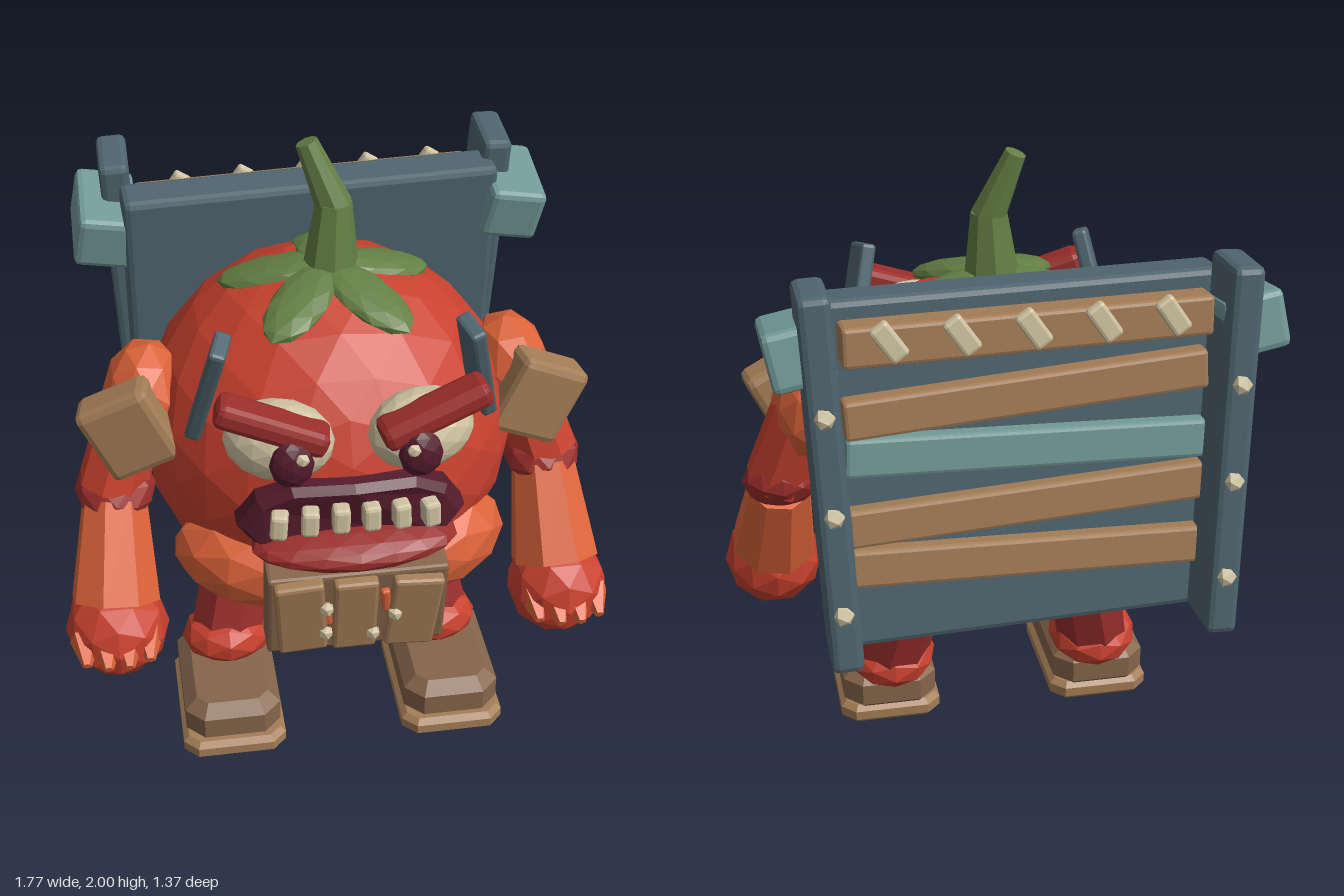
import * as THREE from 'three';
import { RoundedBoxGeometry } from 'three/addons/geometries/RoundedBoxGeometry.js';

const colours = {
  red: 0xc9412e, darkRed: 0x9a2e2b, orange: 0xdc6339, tan: 0xa47d56, brown: 0x85654a,
  cream: 0xd0c4a2, maroon: 0x551b2d, green: 0x647f44, slate: 0x4f656f, teal: 0x729a97,
};
const mats = {};
for (const [name, color] of Object.entries(colours)) {
  mats[name] = new THREE.MeshStandardMaterial({ color, flatShading: true });
  mats[name].name = name;
}

export function createModel() {
  const model = new THREE.Group();
  model.name = 'tomatoMonster';

  const add = (name, mat, geo, pos, rot = [0, 0, 0], parent = model) => {
    const mesh = new THREE.Mesh(geo, mats[mat]);
    mesh.name = name;
    mesh.position.set(...pos);
    mesh.rotation.set(...rot);
    parent.add(mesh);
    return mesh;
  };
  // Faceted ellipsoid
  const ball = (name, mat, r, pos, detail = 1, rot, parent) =>
    add(name, mat, new THREE.IcosahedronGeometry(1, detail).scale(...r), pos, rot, parent);
  // Box with chamfered edges
  const box = (name, mat, size, pos, rot, parent, bevel = 0.012) =>
    add(name, mat, new RoundedBoxGeometry(...size, 1, Math.min(bevel, Math.min(...size) * 0.3)), pos, rot, parent);
  // Horizontal slab with cut corners and bevelled rims, standing at height y
  const slab = (name, mat, w, h, d, cut, bevel, x, y, z) => {
    const a = w / 2 - bevel, b = d / 2 - bevel;
    const plan = [[a, cut - b], [a, b - cut], [a - cut, b], [cut - a, b], [-a, b - cut], [-a, cut - b], [cut - a, -b], [a - cut, -b]];
    const geo = new THREE.ExtrudeGeometry(new THREE.Shape(plan.map(p => new THREE.Vector2(...p))),
      { depth: h - 2 * bevel, bevelSize: bevel, bevelThickness: bevel, bevelSegments: 1 });
    return add(name, mat, geo.rotateX(-Math.PI / 2), [x, y + bevel, z]);
  };
  // Eight-sided tapered limb between two points
  const limb = (name, mat, a, b, ra, rb) => {
    const start = new THREE.Vector3(...a), end = new THREE.Vector3(...b);
    const dir = end.clone().sub(start);
    const mesh = add(name, mat, new THREE.CylinderGeometry(rb, ra, dir.length(), 8),
      start.clone().add(end).multiplyScalar(0.5).toArray());
    mesh.quaternion.setFromUnitVectors(new THREE.Vector3(0, 1, 0), dir.normalize());
  };

  // Body, slightly shallow in front and flattened against the tailgate
  const bodyGeo = new THREE.IcosahedronGeometry(0.59, 3);
  const bp = bodyGeo.attributes.position;
  for (let i = 0; i < bp.count; i++) {
    const z = bp.getZ(i);
    bp.setZ(i, z > 0 ? z * 0.93 : Math.max(z, -0.4));
    if (bp.getY(i) > 0) bp.setY(i, bp.getY(i) * 0.97);
  }
  add('body', 'red', bodyGeo, [0, 1.03, 0]);

  // Leaves and bent stem
  for (let i = 0; i < 5; i++) {
    const a = Math.PI + i * Math.PI * 2 / 5;
    const leaf = ball('leaf', 'green', [0.09, 0.035, 0.18],
      [Math.sin(a) * 0.175, 1.558, 0.02 + Math.cos(a) * 0.175]);
    leaf.rotation.set(0.27, a, 0, 'YXZ');
  }
  limb('lowerStem', 'green', [0.01, 1.55, 0.01], [0.022, 1.8, 0], 0.092, 0.056);
  limb('upperStem', 'green', [0.024, 1.785, 0], [-0.055, 1.985, -0.028], 0.056, 0.034);

  for (const s of [-1, 1]) {
    // Eye
    ball('eye', 'cream', [0.165, 0.122, 0.12], [s * 0.21, 1.29, 0.47], 2, [0, s * 0.3, 0]);
    ball('pupil', 'maroon', [0.066, 0.078, 0.04], [s * 0.187, 1.282, 0.588]);
    ball('eyeHighlight', 'cream', [0.022, 0.022, 0.016], [s * 0.16, 1.318, 0.622], 0);
    box('brow', 'darkRed', [0.34, 0.078, 0.11], [s * 0.235, 1.385, 0.53], [0, s * 0.14, s * 0.35], model, 0.025);

    // Slat stuck in the brow line
    box('headSlat', 'slate', [0.05, 0.38, 0.11], [s * 0.4, 1.405, 0.34], [0.24, s * 0.3, s * 0.22]);

    // Lower cheek
    ball('cheek', 'orange', [0.245, 0.16, 0.16], [s * 0.3, 0.77, 0.34], 1, [0, s * 0.5, 0]);

    // Arm
    ball('shoulder', 'orange', [0.13, 0.19, 0.165], [s * 0.58, 1.195, 0.045], 1, [0, 0, s * 0.15]);
    box('shoulderPlate', 'tan', [0.24, 0.265, 0.13], [s * 0.63, 1.175, 0.185], [0, s * 0.15, -s * 0.45], model, 0.025);
    limb('upperArm', 'red', [s * 0.6, 1.2, 0.03], [s * 0.7, 0.9, 0.1], 0.105, 0.112);
    ball('elbow', 'darkRed', [0.128, 0.09, 0.13], [s * 0.69, 0.9, 0.1], 1, [0.4, 0, 0]);
    limb('forearm', 'orange', [s * 0.695, 0.87, 0.12], [s * 0.718, 0.58, 0.27], 0.105, 0.145);
    ball('hand', 'red', [0.165, 0.163, 0.165], [s * 0.72, 0.503, 0.31], 1);
    for (let i = 0; i < 4; i++) {
      const u = (i - 1.5) * 0.066;
      add('finger', 'orange', new THREE.CylinderGeometry(0.015, 0.052, 0.1, 5),
        [s * 0.725 + u, 0.5, 0.452 - u * u * 3], [1.9, 0, 0]);
    }

    // Leg and shoe
    limb('leg', 'darkRed', [s * 0.265, 0.64, -0.04], [s * 0.36, 0.2, 0.075], 0.12, 0.128);
    ball('ankleCuff', 'red', [0.152, 0.1, 0.15], [s * 0.355, 0.22, 0.075], 1, [-0.3, 0, 0]);
    slab('shoe', 'brown', 0.315, 0.155, 0.465, 0.035, 0.04, s * 0.367, 0.038, 0.197);
    slab('sole', 'tan', 0.34, 0.068, 0.49, 0.035, 0.018, s * 0.367, 0, 0.21);
  }

  // Mouth, bent round the body
  const outline = [[-0.32, 1.02], [-0.27, 1.1], [-0.18, 1.15], [0, 1.155], [0.18, 1.15], [0.27, 1.1],
    [0.32, 1.02], [0.26, 0.95], [0, 0.94], [-0.26, 0.95]].map(p => new THREE.Vector2(...p));
  const mouthGeo = new THREE.ExtrudeGeometry(new THREE.Shape(outline),
    { depth: 0.18, bevelSize: 0.02, bevelThickness: 0.025, bevelSegments: 1 });
  const mp = mouthGeo.attributes.position;
  for (let i = 0; i < mp.count; i++) mp.setZ(i, mp.getZ(i) - 0.5 * mp.getX(i) ** 2);
  add('mouth', 'maroon', mouthGeo, [0, 0, 0.385]);
  ball('lowerLip', 'darkRed', [0.315, 0.062, 0.145], [0.005, 0.95, 0.53], 2);
  for (let i = 0; i < 6; i++) {
    const x = (i - 2.5) * 0.09;
    box('tooth', 'cream', [0.052, 0.085, 0.06], [x, 1.08 - x * x * 0.4, 0.595 - x * x * 0.4],
      [0, x * 0.8, x * 0.3]);
  }

  // Wooden chin guard
  const chin = new THREE.Group();
  chin.name = 'chinGuard';
  chin.position.set(0.005, 0.73, 0.565);
  chin.rotation.x = 0.16;
  model.add(chin);
  box('chinBacking', 'brown', [0.55, 0.33, 0.11], [0, 0, -0.015], [0, 0, 0], chin);
  for (const [x, y, w, r] of [[-0.175, 0.015, 0.15, 0.06], [-0.01, 0.01, 0.135, 0], [0.17, 0, 0.155, -0.08]])
    box('chinPlank', 'tan', [w, 0.29, 0.05], [x, y, 0.05], [0, 0, r], chin);
  for (const [x, y] of [[-0.1, 0.06], [-0.1, -0.05], [0.11, 0.01], [0.045, -0.07]])
    ball('chinNail', 'cream', [0.024, 0.028, 0.02], [x, y, 0.072], 0, [0, 0, 0.4], chin);
  for (const [x, y] of [[-0.095, 0.01], [0.085, 0.05]])
    box('chinPatch', 'orange', [0.028, 0.09, 0.03], [x, y, 0.045], [0, 0, 0.1], chin);

  // Tailgate carried on the back
  const gate = new THREE.Group();
  gate.name = 'tailgate';
  gate.position.set(0, 1.17, -0.42);
  gate.rotation.set(0.075, 0.058, 0);
  model.add(gate);
  box('gatePanel', 'slate', [1.2, 1.09, 0.14], [0, 0, 0.03], [0, 0, 0], gate, 0.02);
  const planks = [[0.43, 'tan', 0, 0.1], [0.23, 'tan', -0.05, 0.07], [0.06, 'teal', 0.05, 0.06],
    [-0.12, 'tan', -0.03, 0.06], [-0.29, 'tan', 0.05, 0.06]];
  for (const [y, mat, r, depth] of planks)
    box('gatePlank', mat, [1.09, 0.12, depth], [0, y, -0.03 - depth / 2], [0, 0, r], gate);
  for (let i = -2; i <= 2; i++)
    box('gateChip', 'cream', [0.06, 0.12, 0.035], [i * 0.207, 0.445, -0.135], [0, 0, -0.6], gate);

  // Side posts with bolts and handles
  for (const s of [-1, 1]) {
    const post = new THREE.Group();
    post.name = 'gatePost';
    post.position.set(s * 0.59, 1.205, -0.525);
    post.rotation.set(0.075, 0, -s * 0.04);
    model.add(post);
    box('postBeam', 'slate', [0.095, 1.15, 0.225], [0, 0, 0], [0, 0, 0], post, 0.02);
    for (const y of [0.23, -0.07, -0.38])
      ball('bolt', 'cream', [0.032, 0.032, 0.026], [0, y, -0.115], 0, [0.3, 0.4, 0], post);
    box('gateHandle', 'teal', [0.185, 0.175, 0.295], [s * 0.655, 1.575, -0.42], [0.18, 0, -0.18], model, 0.02);
  }
  return model;
}
